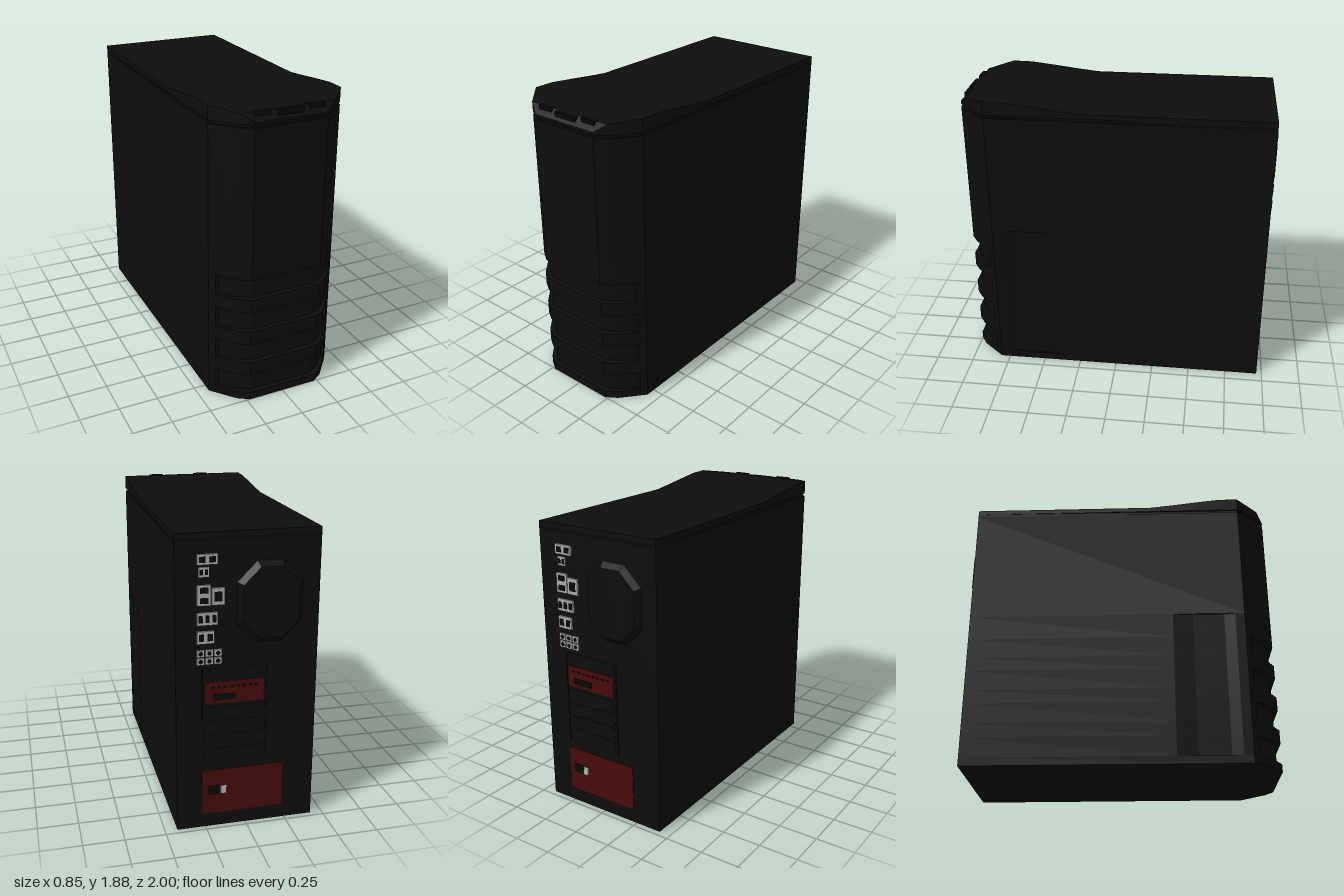
import * as THREE from 'three';

const material = (color) => new THREE.MeshStandardMaterial({ color, flatShading: true, side: THREE.DoubleSide });
const black = material(0x0d0d0d);
const dark = material(0x080808);
const red = material(0x480c0c);
const grey = material(0xaaaaaa);

const BACK = -0.965;

export function createModel() {
  const model = new THREE.Group();

  const add = (name, geometry, mat, parent = model) => {
    const mesh = new THREE.Mesh(geometry, mat);
    mesh.name = name;
    parent.add(mesh);
    return mesh;
  };

  // Box given by its extents
  const box = (name, x0, x1, y0, y1, z0, z1, mat, parent) => {
    const g = new THREE.BoxGeometry(x1 - x0, y1 - y0, z1 - z0);
    g.translate((x0 + x1) / 2, (y0 + y1) / 2, (z0 + z1) / 2);
    return add(name, g, mat, parent);
  };

  // Horizontal slice of the case: half outline in (x, z), mirrored in x
  const slab = (name, half, y0, y1, mat = black) => {
    const other = half.map(([x, z]) => [-x, z]).reverse();
    const shape = new THREE.Shape([...half, ...other].map((p) => new THREE.Vector2(...p)));
    const g = new THREE.ExtrudeGeometry(shape, { depth: y1 - y0, bevelEnabled: false });
    g.rotateX(Math.PI / 2).translate(0, y1, 0);
    return add(name, g, mat);
  };

  const nose = [[0.425, 0.81], [0.3, 0.955], [0.23, 1]];
  const grooveNose = [[0.425, 0.81], [0.395, 0.845], [0.375, 0.845], [0.28, 0.93], [0.21, 0.97]];
  const seamNose = [[0.41, 0.81], [0.29, 0.943], [0.225, 0.985]];
  const plain = [[0.425, BACK]];
  const dimpled = [[0.425, BACK], [0.425, 0.35], [0.413, 0.48], [0.413, 0.68], [0.425, 0.75]];

  // Lower case: ribs and grooves alternating up the front
  slab('basePlate', [...plain, ...nose], 0, 0.05);
  for (let i = 0; i < 4; i++) {
    const y = 0.05 + i * 0.22;
    slab('frontGroove', [...dimpled, ...grooveNose], y, y + 0.13);
    slab('frontRib', [...dimpled, ...nose], y + 0.13, i < 3 ? y + 0.22 : 1.0);
  }

  // Upper case and the seam below the lid
  slab('upperCase', [...plain, ...nose], 1.0, 1.775);
  slab('lidSeam', [...plain, ...seamNose], 1.775, 1.795, dark);

  // Lid: cross-sections along z as [z, half width, top height]
  const stations = [
    [BACK, 0.425, 1.825], [0.22, 0.425, 1.825], [0.35, 0.425, 1.839], [0.52, 0.425, 1.86],
    [0.68, 0.425, 1.878], [0.81, 0.425, 1.88], [0.955, 0.3, 1.858], [1, 0.23, 1.81],
  ];
  const points = [];
  const faces = [];
  const quad = (a, b, c, d) => faces.push(a, b, c, a, c, d);
  stations.forEach(([z, w, top], i) => {
    points.push(-w, 1.795, z, w, 1.795, z, w, top, z, -w, top, z);
    if (i === 0) return;
    for (let j = 0; j < 4; j++) {
      const a = (i - 1) * 4 + j;
      const b = (i - 1) * 4 + ((j + 1) % 4);
      quad(a, b, b + 4, a + 4);
    }
  });
  const last = (stations.length - 1) * 4;
  quad(3, 2, 1, 0);
  quad(last, last + 1, last + 2, last + 3);
  let lid = new THREE.BufferGeometry();
  lid.setAttribute('position', new THREE.Float32BufferAttribute(points, 3));
  lid.setIndex(faces);
  lid = lid.toNonIndexed();
  lid.computeVertexNormals();
  add('lid', lid, black);

  // Control strip on the sloping lip of the lid
  box('powerButton', -0.08, 0.08, 1.79, 1.855, 0.94, 0.985, dark);
  for (const s of [-1, 1]) {
    const x = s * 0.17;
    box('frontPort', x - 0.05, x + 0.05, 1.835, 1.863, 0.94, 0.975, dark);
  }

  // Fan housing: stretched octagon with sloping rim
  const [hw, hh, cut] = [0.165, 0.21, 0.1];
  const octagon = new THREE.Shape([
    [hw, -hh + cut], [hw, hh - cut], [hw - cut, hh], [cut - hw, hh],
    [-hw, hh - cut], [-hw, cut - hh], [cut - hw, -hh], [hw - cut, -hh],
  ].map((p) => new THREE.Vector2(...p)));
  const fan = new THREE.ExtrudeGeometry(octagon, {
    depth: 0.02, bevelThickness: 0.035, bevelSize: 0.03, bevelSegments: 1,
  });
  fan.translate(-0.128, 1.41, -0.965);
  add('fanHousing', fan, black);

  // Rear connectors: each block carries a grid of dark sockets
  const ports = new THREE.Group();
  ports.name = 'rearPorts';
  model.add(ports);
  const connector = (name, x0, x1, y0, y1, cols, rows, out = 0.012) => {
    box(name, x0, x1, y0, y1, BACK - out, BACK + 0.01, grey, ports);
    const dx = (x1 - x0) / cols;
    const dy = (y1 - y0) / rows;
    for (let c = 0; c < cols; c++) {
      for (let r = 0; r < rows; r++) {
        const x = x0 + dx * (c + 0.5);
        const y = y0 + dy * (r + 0.5);
        box('socket', x - dx * 0.3, x + dx * 0.3, y - dy * 0.28, y + dy * 0.28,
          BACK - out - 0.002, BACK, dark, ports);
      }
    }
  };
  connector('keyboardPorts', 0.18, 0.3, 1.645, 1.705, 2, 1);
  connector('smallPorts', 0.23, 0.29, 1.575, 1.63, 2, 1, 0.006);
  connector('networkPort', 0.22, 0.3, 1.41, 1.53, 1, 2);
  connector('displayPort', 0.14, 0.215, 1.41, 1.51, 1, 1);
  connector('upperUsbPorts', 0.18, 0.3, 1.295, 1.37, 3, 1);
  connector('lowerUsbPorts', 0.2, 0.3, 1.185, 1.26, 2, 1);
  for (let c = 0; c < 3; c++) {
    for (let r = 0; r < 2; r++) {
      const x = 0.155 + c * 0.051;
      const y = 1.058 + r * 0.048;
      box('audioBlock', x, x + 0.045, y, y + 0.041, BACK - 0.01, BACK + 0.01, grey, ports);
      const jack = new THREE.CylinderGeometry(0.013, 0.013, 0.012, 10);
      jack.rotateX(Math.PI / 2).translate(x + 0.0225, y + 0.0205, BACK - 0.006);
      add('audioJack', jack, dark, ports);
    }
  }

  // Expansion slots: blank covers, one fitted card
  box('slotFrameLeft', 0.26, 0.272, 0.43, 1.03, BACK - 0.004, BACK, dark);
  box('slotFrameRight', -0.125, -0.113, 0.43, 1.03, BACK - 0.004, BACK, dark);
  for (const y of [0.45, 0.54, 0.63, 0.72, 0.96]) {
    box('slotCover', -0.1, 0.25, y, y + 0.07, BACK - 0.003, BACK, black);
  }
  box('expansionCard', -0.1, 0.25, 0.81, 0.945, BACK - 0.004, BACK, red);
  box('cardSocket', 0.07, 0.21, 0.83, 0.87, BACK - 0.007, BACK, dark);
  for (let i = 0; i < 8; i++) {
    const x = -0.07 + i * 0.038;
    box('cardVent', x, x + 0.022, 0.905, 0.918, BACK - 0.006, BACK, dark);
  }

  // Power supply with mains socket and tilted rocker switch
  box('powerSupply', -0.23, 0.27, 0.09, 0.38, BACK - 0.004, BACK, red);
  box('mainsSocket', 0.165, 0.235, 0.215, 0.275, BACK - 0.007, BACK, dark);
  const rocker = add('rockerSwitch', new THREE.BoxGeometry(0.035, 0.05, 0.015), grey);
  rocker.position.set(0.14, 0.245, BACK - 0.006);
  rocker.rotation.x = 0.2;

  return model;
}
